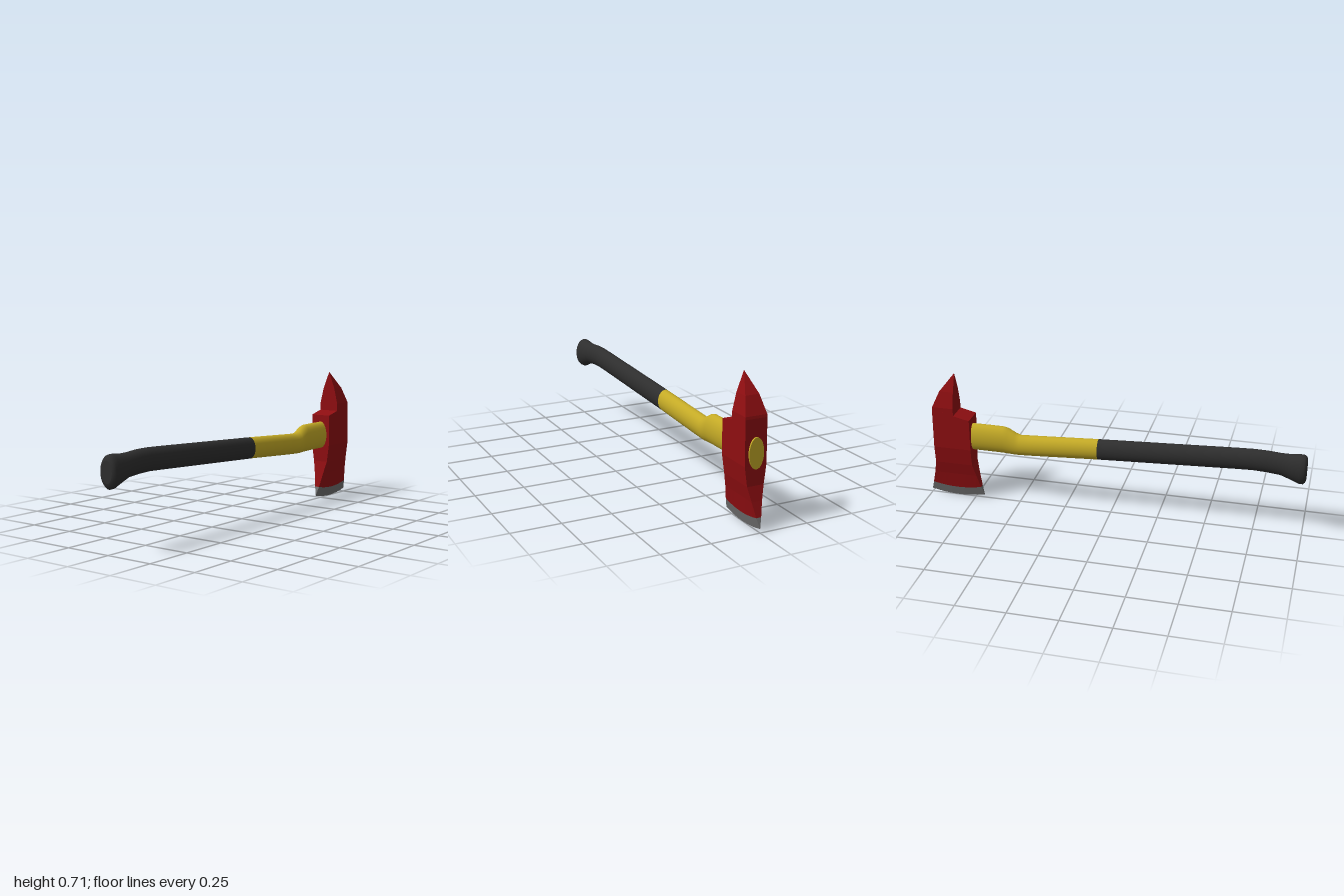
import * as THREE from 'three';

const material = (name, color, extra = {}) => {
  const m = new THREE.MeshStandardMaterial({ color, ...extra });
  m.name = name;
  return m;
};

function buildGeometry(points, index) {
  const g = new THREE.BufferGeometry();
  g.setAttribute('position', new THREE.Float32BufferAttribute(points, 3));
  g.setIndex(index);
  return g;
}

// Smooth elliptical loft; sections are [z, bottom y, top y, half width], running from +z to -z
function gripGeometry(sections, sides = 28) {
  const points = [], index = [];
  const addRing = ([z, lo, hi, w]) => {
    for (let i = 0; i < sides; i++) {
      const t = (i / sides) * Math.PI * 2;
      points.push(w * Math.cos(t), (lo + hi) / 2 + ((hi - lo) / 2) * Math.sin(t), z);
    }
  };
  sections.forEach(addRing);
  for (let k = 0; k < sections.length - 1; k++) {
    for (let i = 0; i < sides; i++) {
      const j = (i + 1) % sides, a = k * sides, b = a + sides;
      index.push(a + i, b + i, b + j, a + i, b + j, a + j);
    }
  }
  // End caps have their own rings so the rims stay crisp
  [sections[0], sections[sections.length - 1]].forEach((s, end) => {
    const base = points.length / 3;
    addRing(s);
    for (let i = 1; i < sides - 1; i++) {
      index.push(base, base + i + (end ? 1 : 0), base + i + (end ? 0 : 1));
    }
  });
  const g = buildGeometry(points, index);
  g.computeVertexNormals();
  return g;
}

// Faceted steel loft; rows run upwards, each a rectangle with a bowed underside:
// [front z, back z, front y, back y, half width, bow]
function steelGeometry(rows, capTop = false, steps = 8) {
  const points = [], index = [], n = 2 * (steps + 1);
  for (const [zf, zb, yf, yb, w, bow] of rows) {
    for (let i = 0; i < n; i++) {
      const left = i <= steps;
      const u = (left ? i : n - 1 - i) / steps;
      const y = yf + (yb - yf) * u - bow * (1 - (2 * u - 1) ** 2);
      points.push(left ? w : -w, y, zf + (zb - zf) * u);
    }
  }
  for (let k = 0; k < rows.length - 1; k++) {
    for (let i = 0; i < n; i++) {
      const j = (i + 1) % n, a = k * n, b = a + n;
      index.push(a + i, a + j, b + j, a + i, b + j, b + i);
    }
  }
  if (capTop) {
    const top = (rows.length - 1) * n;
    for (let i = 1; i < n - 1; i++) index.push(top, top + i, top + i + 1);
  }
  const g = buildGeometry(points, index).toNonIndexed();
  g.computeVertexNormals();
  return g;
}

export function createModel() {
  const red = material('red paint', 0x8f0e11, { flatShading: true });
  const steel = material('bare steel', 0x707070, { flatShading: true });
  const yellow = material('yellow handle', 0xc4aa26);
  const black = material('black rubber', 0x2e2e2e);

  const model = new THREE.Group();
  model.name = 'fireAxe';
  const add = (name, geometry, mat, parent = model) => {
    const mesh = new THREE.Mesh(geometry, mat);
    mesh.name = name;
    parent.add(mesh);
  };

  // Handle: black grip with a flared knob, then the yellow shaft through the head
  const seam = [-0.065, 0.309, 0.421, 0.04];
  add('grip', gripGeometry([
    [1.0, 0.325, 0.43, 0.032],
    [0.996, 0.308, 0.446, 0.042],
    [0.985, 0.297, 0.455, 0.049],
    [0.965, 0.298, 0.457, 0.049],
    [0.92, 0.317, 0.452, 0.045],
    [0.87, 0.336, 0.452, 0.041],
    [0.8, 0.343, 0.458, 0.04],
    [0.73, 0.346, 0.459, 0.04],
    [0.65, 0.343, 0.456, 0.04],
    seam,
  ]), black);
  add('shaft', gripGeometry([
    seam,
    [-0.42, 0.288, 0.401, 0.04],
    [-0.485, 0.285, 0.398, 0.04],
    [-0.51, 0.284, 0.407, 0.04],
    [-0.55, 0.286, 0.431, 0.04],
    [-0.575, 0.287, 0.437, 0.04],
    [-0.65, 0.288, 0.438, 0.04],
    [-0.955, 0.288, 0.438, 0.038],
  ]), yellow);

  // Head: sharpened edge, flared blade with sloping shoulder, and pick
  const head = new THREE.Group();
  head.name = 'head';
  model.add(head);
  const bevel = [-0.715, -0.985, 0.067, 0.069, 0.013, 0.016];
  add('cuttingEdge', steelGeometry([
    [-0.7, -1.0, 0.017, 0.02, 0, 0.018],
    bevel,
  ]), steel, head);
  add('blade', steelGeometry([
    bevel,
    [-0.732, -0.966, 0.14, 0.14, 0.027, 0],
    [-0.747, -0.95, 0.21, 0.21, 0.043, 0],
    [-0.746, -0.948, 0.305, 0.305, 0.056, 0],
    [-0.745, -0.945, 0.475, 0.522, 0.056, 0],
  ], true), red, head);
  add('pick', steelGeometry([
    [-0.83, -0.945, 0.495, 0.522, 0.056, 0],
    [-0.83, -0.943, 0.535, 0.535, 0.056, 0],
    [-0.83, -0.905, 0.62, 0.62, 0.036, 0],
    [-0.83, -0.831, 0.714, 0.714, 0, 0],
  ]), red, head);

  return model;
}
